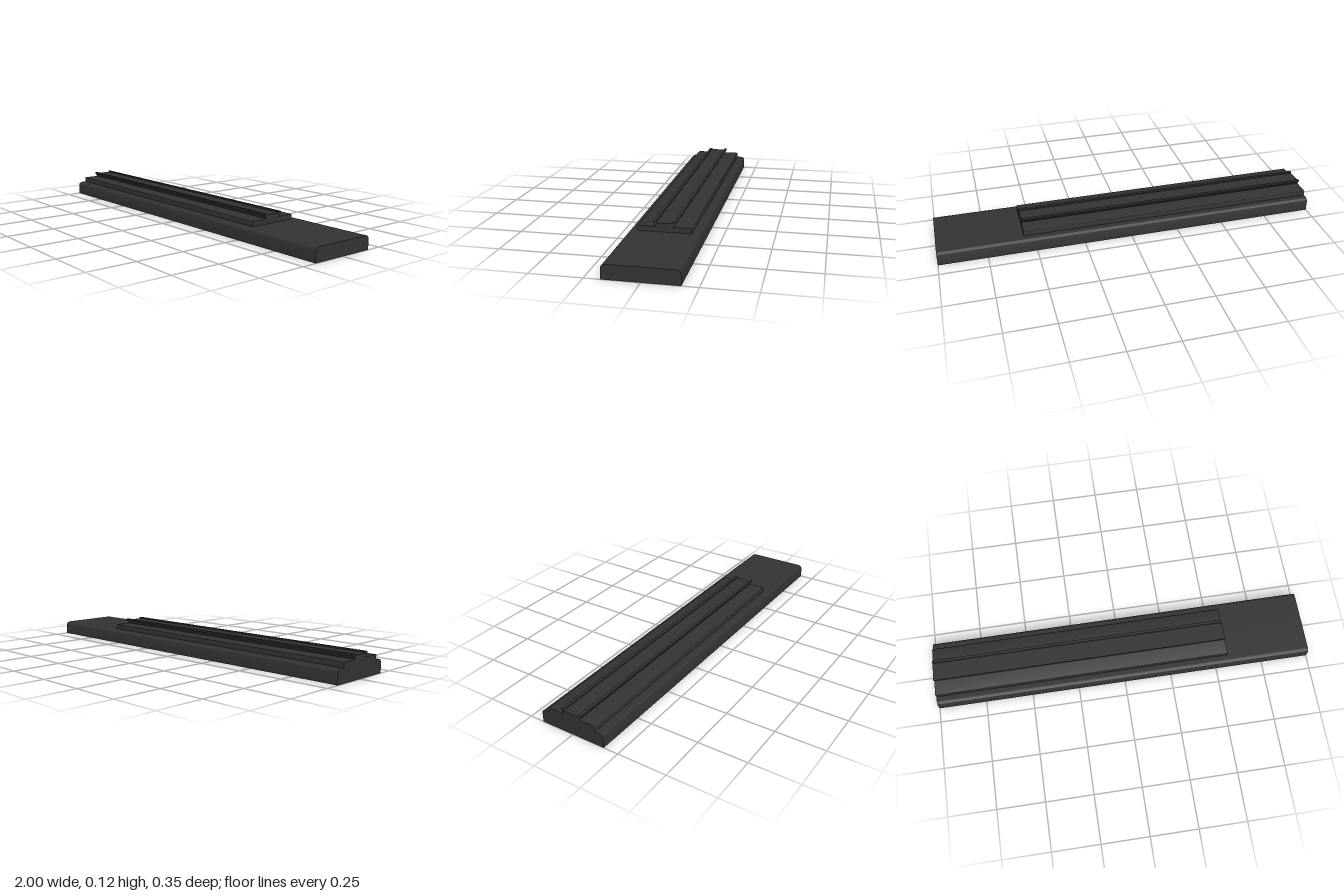
import * as THREE from 'three';
import { toCreasedNormals } from 'three/addons/utils/BufferGeometryUtils.js';

const material = new THREE.MeshStandardMaterial({ color: 0x333333 });

// Sweeps a cross-section along x, from the left edge at x = -1.
function bar(name, shape, length) {
  let geometry = new THREE.ExtrudeGeometry(shape, { depth: length, bevelEnabled: false, curveSegments: 8 });
  geometry.rotateY(Math.PI / 2);
  geometry.translate(-1, 0, 0);
  geometry = toCreasedNormals(geometry, 0.5);
  const mesh = new THREE.Mesh(geometry, material);
  mesh.name = name;
  return mesh;
}

// Slab section with rounded upper corners.
function slab(half, bottom, top, radius) {
  const s = new THREE.Shape();
  s.moveTo(-half, bottom);
  s.lineTo(half, bottom);
  s.lineTo(half, top - radius);
  s.absarc(half - radius, top - radius, radius, 0, Math.PI / 2, false);
  s.lineTo(-half + radius, top);
  s.absarc(-half + radius, top - radius, radius, Math.PI / 2, Math.PI, false);
  s.closePath();
  return s;
}

export function createModel() {
  const group = new THREE.Group();
  group.name = 'railPlate';
  const railLength = 1.56;

  group.add(bar('base', slab(0.174, 0, 0.07, 0.02), 2));
  group.add(bar('step', slab(0.13, 0.07, 0.096, 0.003), railLength));

  // Dovetail rail: flared sides with a raised lip along each edge
  const half = [[0.043, 0.096], [0.056, 0.113], [0.056, 0.121], [0.041, 0.121], [0.041, 0.114]];
  const mirrored = half.map(([z, y]) => [-z, y]).reverse();
  const section = new THREE.Shape([...half, ...mirrored].map(([z, y]) => new THREE.Vector2(z, y)));
  group.add(bar('dovetailRail', section, railLength));

  return group;
}
